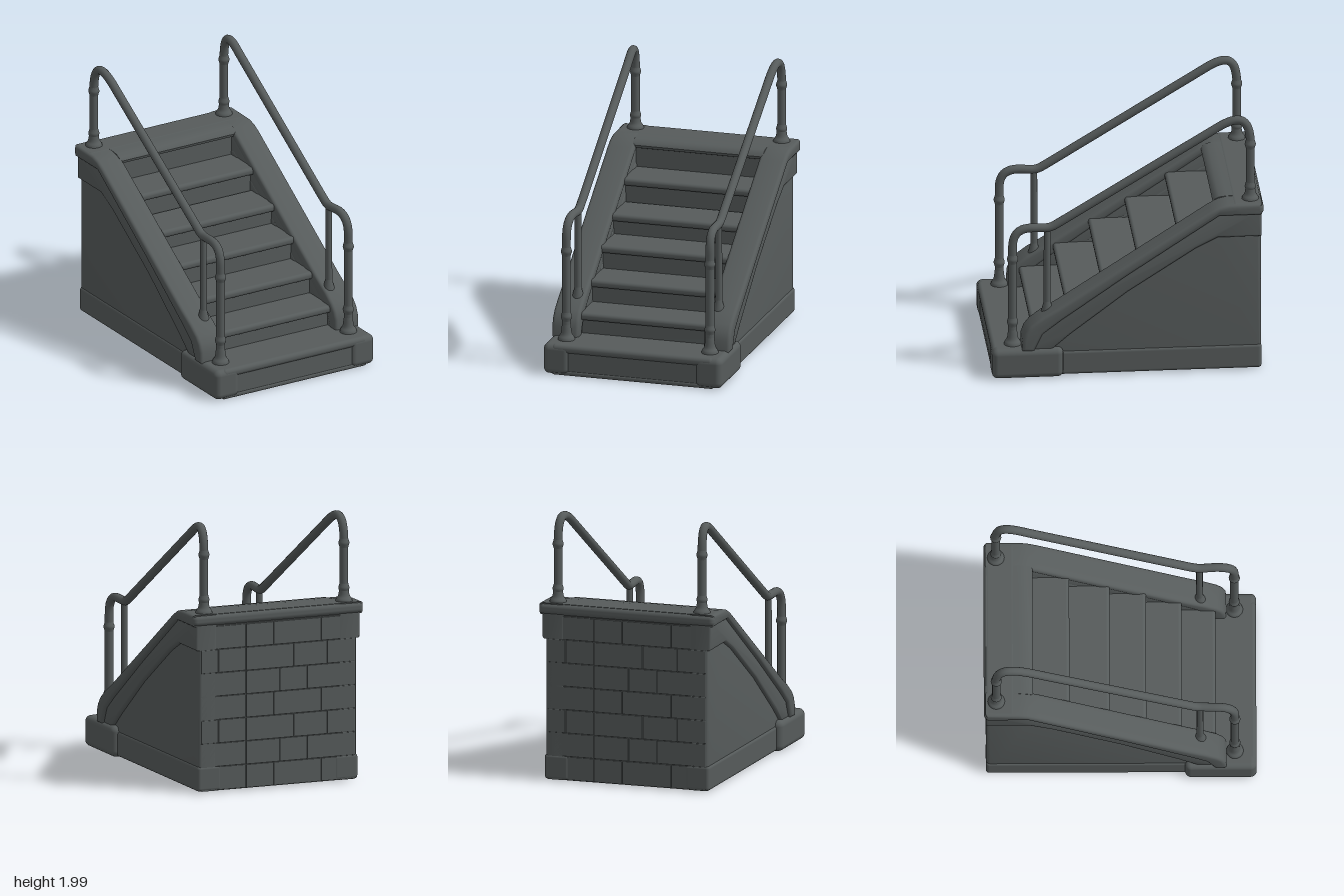
import * as THREE from 'three';
import { RoundedBoxGeometry } from 'three/addons/geometries/RoundedBoxGeometry.js';
import { toCreasedNormals } from 'three/addons/utils/BufferGeometryUtils.js';

const stone = new THREE.MeshStandardMaterial({ color: 0x565b5b });
stone.name = 'darkGrey';

function add(group, name, geometry) {
  const mesh = new THREE.Mesh(geometry, stone);
  mesh.name = name;
  group.add(mesh);
  return mesh;
}

// Rounded block given by its limits on each axis
function block(group, name, [x0, x1], [y0, y1], [z0, z1], r = 0.02) {
  const g = new RoundedBoxGeometry(x1 - x0, y1 - y0, z1 - z0, 4, r);
  g.translate((x0 + x1) / 2, (y0 + y1) / 2, (z0 + z1) / 2);
  return add(group, name, g);
}

// Extrude a [z, y] outline across x0..x1
function slab(group, name, outline, x0, x1, bevel = 0) {
  const shape = new THREE.Shape(outline.map(([z, y]) => new THREE.Vector2(z, y)));
  const g = new THREE.ExtrudeGeometry(shape, {
    depth: x1 - x0 - 2 * bevel, bevelEnabled: bevel > 0, bevelThickness: bevel,
    bevelSize: bevel, bevelOffset: -bevel, bevelSegments: 4,
  });
  g.rotateY(-Math.PI / 2);
  g.translate(x1 - bevel, 0, 0);
  return add(group, name, toCreasedNormals(g, 0.7));
}

// Turned piece from [radius, y] pairs
function turned(group, name, profile, x, y, z) {
  const curve = new THREE.SplineCurve(profile.map(([r, h]) => new THREE.Vector2(r, h)));
  const mesh = add(group, name, new THREE.LatheGeometry(curve.getPoints(16), 20));
  mesh.position.set(x, y, z);
}

function buildStairs(group) {
  // Nosing position and tread height, top landing first
  const steps = [[-0.635, 1.33], [-0.37, 1.11], [-0.075, 0.925], [0.192, 0.762], [0.452, 0.578], [0.702, 0.4]];
  const core = [[-0.975, 0.012], [0.66, 0.012]];
  for (let i = steps.length - 1; i >= 0; i--) {
    const [z, y] = steps[i];
    const below = i + 1 < steps.length ? steps[i + 1][1] : 0.22;
    core.push([z - 0.045, below - 0.02], [z - 0.045, y - 0.03]);
    if (i > 0) block(group, 'tread', [-0.51, 0.51], [y - 0.058, y], [z - 0.34, z], 0.025);
  }
  core.push([-0.975, 1.3]);
  slab(group, 'stairCore', core, -0.5, 0.5);
  // Landing with a rounded front edge
  slab(group, 'landing', [[-0.98, 1.331], [-0.74, 1.331], [-0.685, 1.324], [-0.65, 1.307], [-0.637, 1.285],
    [-0.643, 1.265], [-0.665, 1.257], [-0.98, 1.257]], -0.5, 0.5);
}

function buildBase(group) {
  block(group, 'bottomStep', [-0.6, 0.6], [0.01, 0.23], [0.5, 0.985]);
  block(group, 'bottomStepLip', [-0.62, 0.62], [0.17, 0.235], [0.49, 0.998], 0.03);
  block(group, 'bottomStepSill', [-0.62, 0.62], [0, 0.04], [0.5, 0.99], 0.018);
  for (const s of [-1, 1])
    block(group, 'bottomStepEnd', s < 0 ? [-0.685, -0.48] : [0.48, 0.685], [0.005, 0.235], [0.475, 1], 0.045);
}

function buildSide(group, s) {
  const span = (a, b) => (s > 0 ? [a, b] : [-b, -a]);
  const top = [[0.78, 0.22], [0.777, 0.31], [0.755, 0.37], [0.715, 0.42], [0.63, 0.483], [0.5, 0.56],
    [-0.6, 1.275], [-0.67, 1.313], [-0.74, 1.33], [-0.985, 1.333]];
  const lipEdge = [[-0.985, 1.245], [-0.67, 1.245], [0, 0.8], [0.5, 0.45], [0.63, 0.35], [0.69, 0.22]];
  const bandEdge = [[-0.983, 1.065], [-0.66, 1.065], [-0.5, 0.985], [0, 0.66], [0.42, 0.34], [0.56, 0.22]];

  // Sloping wall, band beneath the coping, and the coping
  slab(group, 'sideWall', [[-0.98, 0.012], [0.6, 0.012], [0.56, 0.3], [0.1, 0.68],
    [-0.64, 1.15], [-0.98, 1.15]], ...span(0.48, 0.632), 0.025);
  slab(group, 'copingBand', [[0.75, 0.22], [0.72, 0.38], [0.5, 0.52], [-0.66, 1.27], [-0.983, 1.29], ...bandEdge],
    ...span(0.485, 0.658), 0.02);
  slab(group, 'coping', [...top, ...lipEdge], ...span(0.478, 0.683), 0.025);
  block(group, 'plinth', span(0.45, 0.642), [0.01, 0.2], [-0.984, 0.52], 0.025);
}

function buildBack(group) {
  // Shallow, uneven masonry with staggered joints
  for (let row = 0; row < 7; row++) {
    const y = 0.015 + row * 0.175;
    let x = -0.615, n = row;
    while (x < 0.6) {
      let end = x + [0.27, 0.38, 0.22][n++ % 3];
      if (end > 0.5) end = 0.615;
      const out = 0.98 + ((n * 5 + row * 3) % 4) * 0.002;
      block(group, 'backStone', [x, end], [y, y + 0.175], [-out, -0.9], 0.006);
      x = end;
    }
  }
  block(group, 'backCap', [-0.683, 0.683], [1.245, 1.333], [-0.998, -0.76], 0.036);
}

function buildRail(group, s) {
  const pt = (x, y, z) => new THREE.Vector3(s * x, y, z);
  // Rail: post, bend, slope, bend and post in one tube
  const path = new THREE.CurvePath();
  const line = (a, b) => path.add(new THREE.LineCurve3(a, b));
  const bend = (a, b, c, d) => path.add(new THREE.CubicBezierCurve3(a, b, c, d));
  const p = [pt(0.55, 0.22, 0.84), pt(0.55, 1.0, 0.84), pt(0.545, 1.15, 0.7), pt(0.54, 1.145, 0.6),
    pt(0.54, 1.2, 0.47), pt(0.545, 1.9, -0.67), pt(0.56, 1.8, -0.907), pt(0.56, 1.32, -0.907)];
  line(p[0], p[1]);
  bend(p[1], pt(0.55, 1.11, 0.84), pt(0.545, 1.15, 0.79), p[2]);
  line(p[2], p[3]);
  bend(p[3], pt(0.54, 1.145, 0.55), pt(0.54, 1.165, 0.53), p[4]);
  line(p[4], p[5]);
  bend(p[5], pt(0.55, 1.99, -0.815), pt(0.56, 1.985, -0.895), p[6]);
  line(p[6], p[7]);
  add(group, 'handrail', new THREE.TubeGeometry(path, 160, 0.032, 14));

  // Slender inner post
  const post = add(group, 'slimPost', new THREE.CylinderGeometry(0.024, 0.026, 0.66, 14));
  post.position.set(s * 0.54, 0.81, 0.585);
  turned(group, 'slimPostFoot', [[0.045, -0.02], [0.035, 0.02], [0.028, 0.05], [0.022, 0.08]], s * 0.54, 0.5, 0.585);

  // Flared feet and collars
  const foot = [[0.066, -0.02], [0.06, 0.015], [0.042, 0.045], [0.034, 0.1], [0.03, 0.13]];
  const collar = [[0.03, -0.04], [0.035, -0.022], [0.041, 0], [0.035, 0.022], [0.03, 0.04]];
  for (const [x, z, base, heights] of [[0.55, 0.84, 0.235, [0.41, 0.91]], [0.56, -0.907, 1.33, [1.43, 1.765]]]) {
    turned(group, 'postFoot', foot, s * x, base, z);
    for (const y of heights) turned(group, 'postCollar', collar, s * x, y, z);
  }
}

export function createModel() {
  const model = new THREE.Group();
  model.name = 'staircase';
  const part = (name, build, ...args) => {
    const group = new THREE.Group();
    group.name = name;
    build(group, ...args);
    model.add(group);
  };
  part('stairs', buildStairs);
  part('base', buildBase);
  part('back', buildBack);
  for (const [side, s] of [['left', 1], ['right', -1]]) {
    part(side + 'Side', buildSide, s);
    part(side + 'Rail', buildRail, s);
  }
  return model;
}
